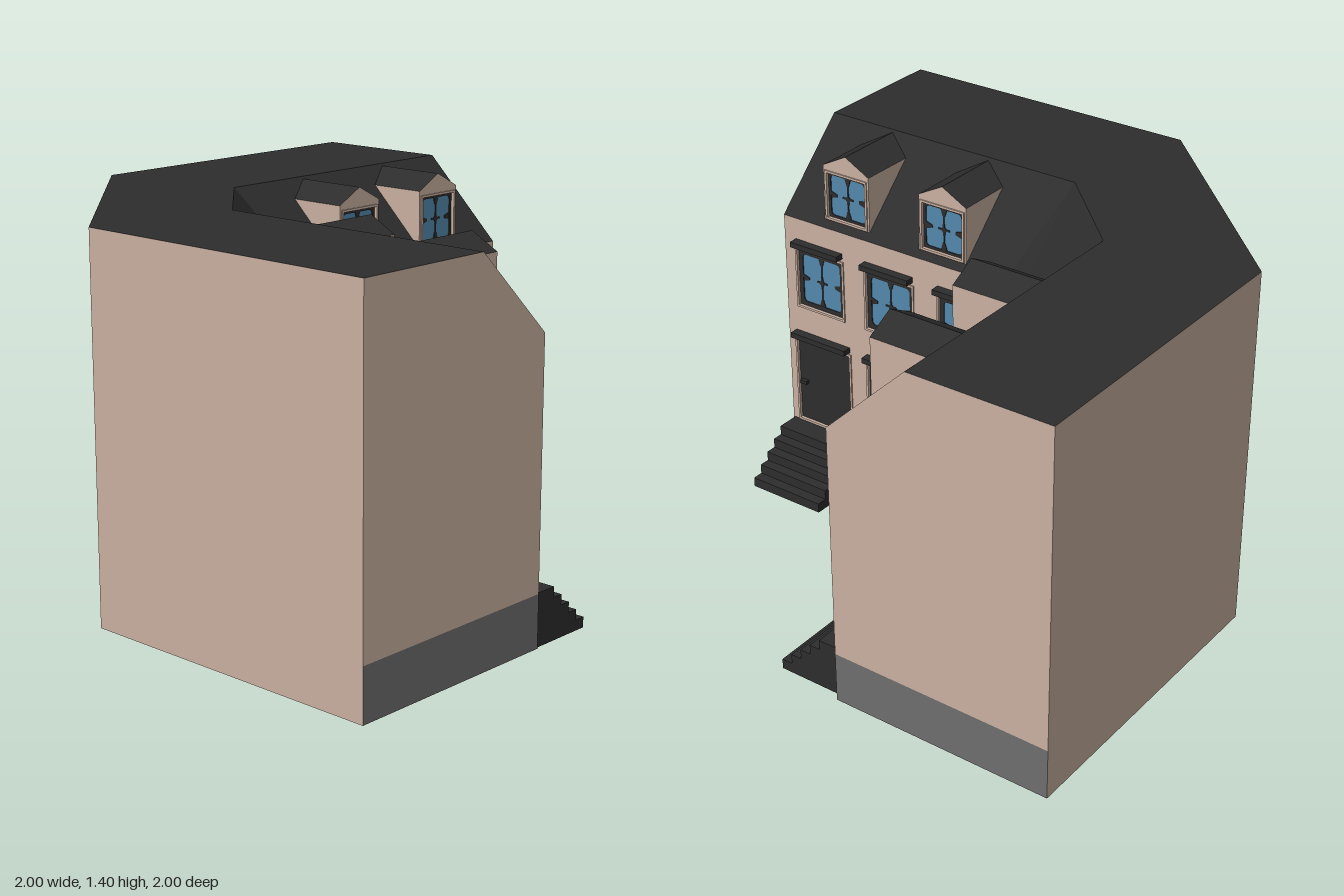
import * as THREE from 'three';

const mat = (name, color, side = THREE.DoubleSide) => {
  const m = new THREE.MeshStandardMaterial({ color, side });
  m.name = name;
  return m;
};
const plaster = mat('plaster', 0xcab1a1);
const plinthGrey = mat('plinth grey', 0x6e6e6e);
const slate = mat('slate', 0x2d2d2d);
const glassBlue = mat('glass blue', 0x5388ac);

const PLINTH = 0.195, EAVE = 1.09, TOP = 1.4, FACE = -0.13;

// plan lines (x, z) running from the front end to the right end
const OUTER = [[-1, 1], [-1, -0.22], [-0.22, -1], [1, -1]];
const RIDGE = [[-0.45, 1], [-0.45, -0.11], [-0.11, -0.45], [1, -0.45]];
const INNER = [[-0.13, 1], [-0.13, -0.015], [-0.035, -0.13], [1, -0.13]];

function add(parent, name, geometry, material, x = 0, y = 0, z = 0) {
  const mesh = new THREE.Mesh(geometry, material);
  mesh.name = name;
  mesh.position.set(x, y, z);
  parent.add(mesh);
  return mesh;
}

// flat convex polygons as triangle fans
function polygons(list) {
  const pos = [];
  for (const p of list)
    for (let i = 1; i < p.length - 1; i++) pos.push(...p[0], ...p[i], ...p[i + 1]);
  const g = new THREE.BufferGeometry();
  g.setAttribute('position', new THREE.Float32BufferAttribute(pos, 3));
  g.computeVertexNormals();
  return g;
}

// strip of quads between two plan lines at given heights
function strip(a, ya, b, yb) {
  const quads = [];
  for (let i = 0; i < a.length - 1; i++)
    quads.push([[a[i][0], ya, a[i][1]], [a[i + 1][0], ya, a[i + 1][1]],
      [b[i + 1][0], yb, b[i + 1][1]], [b[i][0], yb, b[i][1]]]);
  return polygons(quads);
}

const outline = (pts, Type = THREE.Shape) => new Type(pts.map(p => new THREE.Vector2(...p)));
const rect = (cx, cy, w, h, Type) => outline([[cx - w / 2, cy - h / 2], [cx + w / 2, cy - h / 2],
  [cx + w / 2, cy + h / 2], [cx - w / 2, cy + h / 2]], Type);
const extrude = (shape, depth) => new THREE.ExtrudeGeometry(shape, { depth, bevelEnabled: false, curveSegments: 4 });

function roundedHole(w, h, r) {
  const p = new THREE.Path(), x = w / 2, y = h / 2;
  p.moveTo(-x + r, -y);
  p.lineTo(x - r, -y); p.quadraticCurveTo(x, -y, x, -y + r);
  p.lineTo(x, y - r); p.quadraticCurveTo(x, y, x - r, y);
  p.lineTo(-x + r, y); p.quadraticCurveTo(-x, y, -x, y - r);
  p.lineTo(-x, -y + r); p.quadraticCurveTo(-x, -y, -x + r, -y);
  return p;
}

// plaster surround lining an opening
function surround(parent, w, h) {
  const s = rect(0, 0, w + 0.018, h + 0.018);
  s.holes.push(rect(0, 0, w, h, THREE.Path));
  add(parent, 'surround', extrude(s, 0.025), plaster, 0, 0, -0.02);
}

function makeWindow(w, h, border) {
  const g = new THREE.Group();
  g.name = 'window';
  surround(g, w, h);
  const gw = w - 2 * border, gh = h - 2 * border;
  add(g, 'glass', new THREE.PlaneGeometry(w - 0.004, h - 0.004), glassBlue, 0, 0, -0.012);
  const frame = rect(0, 0, w, h);
  frame.holes.push(roundedHole(gw, gh, 0.018));
  add(g, 'frame', extrude(frame, 0.008), slate, 0, 0, -0.016);

  // glazing bars with ornaments at the centre and the side midpoints
  const bars = [rect(0, 0, 0.005, gh), rect(0, 0, 0.05, 0.007), rect(0, 0, 0.009, 0.045),
    outline([[-0.015, 0], [0, -0.015], [0.015, 0], [0, 0.015]])];
  for (const s of [-1, 1]) {
    bars.push(outline([[s * gw / 2, -0.014], [s * (gw / 2 - 0.028), -0.005],
      [s * (gw / 2 - 0.028), 0.005], [s * gw / 2, 0.014]]));
    bars.push(outline([[-0.014, s * gh / 2], [-0.005, s * (gh / 2 - 0.028)],
      [0.005, s * (gh / 2 - 0.028)], [0.014, s * gh / 2]]));
  }
  add(g, 'glazing bars', extrude(bars, 0.006), slate, 0, 0, -0.015);
  return g;
}

function makeDoor(w, h, side) {
  const g = new THREE.Group();
  g.name = 'door';
  surround(g, w, h);
  add(g, 'door panel', new THREE.BoxGeometry(w, h, 0.009), slate, 0, 0, -0.012);
  add(g, 'door handle', new THREE.BoxGeometry(0.03, 0.015, 0.016), slate, side * (w / 2 - 0.025), -0.01, 0);
  return g;
}

function makeDormer() {
  const g = new THREE.Group();
  g.name = 'dormer';
  const w = 0.107, y0 = 1.11, y1 = 1.335, y2 = 1.392, zf = -0.155, z1 = -0.383, z2 = -0.442;
  const front = outline([[-w, y0], [w, y0], [w, y1], [0, y2], [-w, y1]]);
  front.holes.push(rect(0, 1.217, 0.18, 0.183, THREE.Path));
  add(g, 'dormer front', new THREE.ShapeGeometry(front), plaster, 0, 0, zf);
  add(g, 'dormer cheeks', polygons([
    [[-w, y0, zf], [-w, y1, zf], [-w, y1, z1]],
    [[w, y0, zf], [w, y1, z1], [w, y1, zf]]]), plaster);
  add(g, 'dormer roof', polygons([
    [[0, y2, zf], [0, y2, z2], [-w, y1, z1], [-w, y1, zf]],
    [[0, y2, zf], [w, y1, zf], [w, y1, z1], [0, y2, z2]]]), slate);
  const win = makeWindow(0.18, 0.183, 0.01);
  win.position.set(0, 1.217, zf);
  g.add(win);
  return g;
}

// stepped entrance stairs, rising toward the door
function makeStairs() {
  const pts = [[FACE, 0], [0.135, 0]];
  for (let i = 0; i < 5; i++) {
    const z = 0.135 - i * 0.043, y = (i + 1) * 0.039;
    pts.push([z, y], [i < 4 ? z - 0.043 : FACE, y]);
  }
  const geo = extrude(outline(pts), 0.33);
  geo.translate(0, 0, -0.165);
  geo.rotateY(-Math.PI / 2);
  return geo;
}

// one courtyard facade; side mirrors it along its length
function makeFacade(side, start) {
  const g = new THREE.Group();
  const end = side > 0 ? 1 : 0.98;
  const wall = outline([[side * start, PLINTH], [side * end, PLINTH], [side * end, EAVE], [side * start, EAVE]]);
  const place = (obj, s, y, w, h) => {
    wall.holes.push(rect(side * s, y, w, h, THREE.Path));
    obj.position.set(side * s, y, FACE);
    g.add(obj);
  };
  const lintel = (s, y, w) =>
    add(g, 'lintel', new THREE.BoxGeometry(w, 0.022, 0.037), slate, side * s, y, FACE + 0.0185);

  for (const s of [0.137, 0.478, 0.812]) {
    place(makeWindow(0.218, 0.238, 0.018), s, 0.84, 0.218, 0.238);
    lintel(s, 0.992, 0.226);
    if (s < 0.8) {
      place(makeWindow(0.218, 0.252, 0.018), s, 0.438, 0.218, 0.252);
      lintel(s, 0.594, 0.226);
    }
  }
  place(makeDoor(0.26, 0.36, side), 0.81, 0.386, 0.26, 0.36);
  lintel(0.81, 0.594, 0.265);
  add(g, 'facade wall', new THREE.ShapeGeometry(wall), plaster, 0, 0, FACE);
  add(g, 'stairs', makeStairs(), slate, side * 0.808, 0, 0);
  for (const s of [0.245, 0.69]) {
    const d = makeDormer();
    d.position.x = side * s;
    g.add(d);
  }
  return g;
}

export function createModel() {
  const model = new THREE.Group();
  model.name = 'corner house';

  // outer walls, courtyard plinth and chamfered inner corner
  add(model, 'outer walls', strip(OUTER, 0, OUTER, TOP), plaster);
  add(model, 'courtyard plinth', strip(INNER, PLINTH, INNER, 0), plinthGrey);
  add(model, 'corner wall', strip(INNER.slice(1, 3), EAVE, INNER.slice(1, 3), PLINTH), plaster);

  // flat roof top and mansard slope
  add(model, 'roof top', strip(OUTER, TOP, RIDGE, TOP), slate);
  add(model, 'mansard slope', strip(RIDGE, TOP, INNER, EAVE), slate);

  // gable ends of both wings
  const profile = [[-1, PLINTH], [-0.13, PLINTH], [-0.13, EAVE], [-0.45, TOP], [-1, TOP]];
  const base = [[-1, 0], [-0.13, 0], [-0.13, PLINTH], [-1, PLINTH]];
  const frontEnd = p => p.map(([a, y]) => [a, y, 1]);
  const rightEnd = p => p.map(([a, y]) => [1, y, a]).reverse();
  add(model, 'gable walls', polygons([frontEnd(profile), rightEnd(profile)]), plaster);
  add(model, 'gable plinths', polygons([frontEnd(base), rightEnd(base)]), plinthGrey);

  // the two courtyard facades
  const rear = makeFacade(1, -0.035);
  rear.name = 'rear wing facade';
  const wing = makeFacade(-1, -0.035);
  wing.name = 'side wing facade';
  wing.rotation.y = Math.PI / 2;
  wing.position.z = 0.02;
  model.add(rear, wing);
  return model;
}
